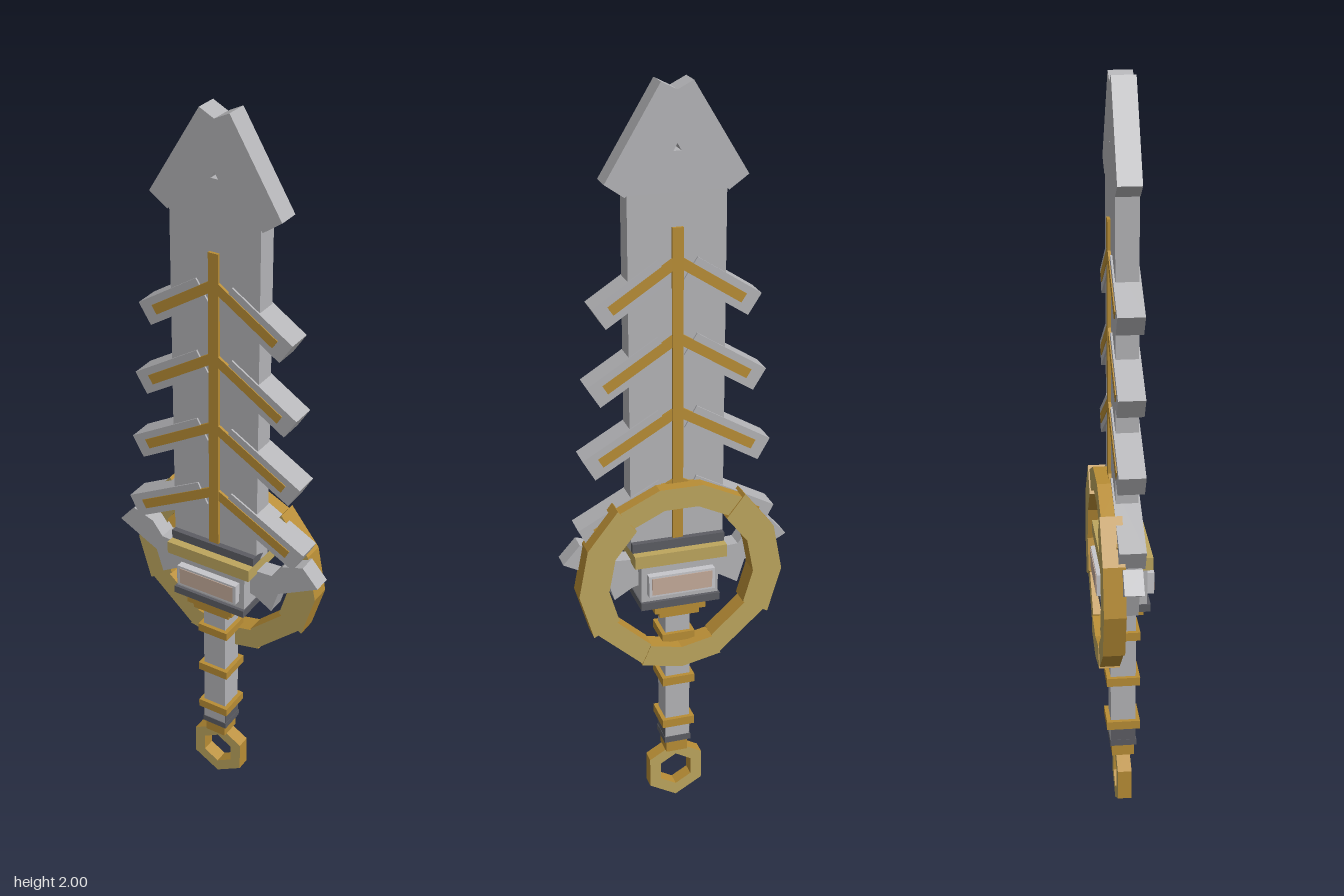
import * as THREE from 'three';

const mat = (name, color) => {
  const m = new THREE.MeshStandardMaterial({ color, flatShading: true });
  m.name = name;
  return m;
};

export function createModel() {
  const root = new THREE.Group();
  root.name = 'sword';
  const steel = mat('steel', 0xb4b4b7);
  const lightSteel = mat('lightSteel', 0xc6c6ca);
  const dark = mat('darkSteel', 0x5c5d63);
  const pale = mat('paleGold', 0xbda65e);
  const gold = mat('deepGold', 0xb88d35);
  const pink = mat('inlay', 0xc4aa9a);

  const add = (name, geo, material, parent = root) => {
    const m = new THREE.Mesh(geo, material);
    m.name = name;
    parent.add(m);
    return m;
  };
  // box from half width, y range and half depth
  const slab = (name, hx, y0, y1, hz, material) => {
    const m = add(name, new THREE.BoxGeometry(hx * 2, y1 - y0, hz * 2), material);
    m.position.y = (y0 + y1) / 2;
    return m;
  };
  // flat plate from an outline, z from z0 to z1
  const plate = (name, pts, z0, z1, material, hole) => {
    const s = new THREE.Shape(pts.map(p => new THREE.Vector2(...p)));
    if (hole) s.holes.push(new THREE.Path(hole.map(p => new THREE.Vector2(...p))));
    const g = new THREE.ExtrudeGeometry(s, { depth: z1 - z0, bevelEnabled: false });
    g.translate(0, 0, z0);
    return add(name, g, material);
  };
  const arc = (r, n, a0, a1, cy = 0) => Array.from({ length: n + 1 }, (_, i) => {
    const a = a0 + (a1 - a0) * i / n;
    return [r * Math.cos(a), cy + r * Math.sin(a)];
  });

  // blade and arrow-shaped tip
  slab('blade', 0.125, 0.78, 1.75, 0.029, steel);
  plate('bladeTip', [
    [-0.125, 1.74], [0.125, 1.74], [0.13, 1.735], [0.18, 1.77], [0.04, 2], [0, 1.98],
    [-0.04, 2], [-0.18, 1.77], [-0.13, 1.735],
  ], -0.03, 0.03, steel, [[-0.01, 1.838], [0, 1.856], [0.01, 1.838]]);
  slab('bladeSpine', 0.014, 0.8, 1.655, 0.037, gold);

  // four pairs of swept barbs with gold inlays
  const barbs = [[1.572, 0.2, 33], [1.376, 0.217, 32], [1.18, 0.233, 30], [0.985, 0.25, 28]];
  for (const [y, reach, deg] of barbs) {
    for (const s of [-1, 1]) {
      const arm = new THREE.Group();
      arm.name = s > 0 ? 'leftBarb' : 'rightBarb';
      arm.position.y = y;
      arm.rotation.z = -s * deg * Math.PI / 180;
      const len = reach / Math.cos(deg * Math.PI / 180);
      const body = add('barb', new THREE.BoxGeometry(len - 0.04, 0.064, 0.068), steel, arm);
      body.position.x = s * (len + 0.04) / 2;
      const inlay = add('barbInlay', new THREE.BoxGeometry(len - 0.035, 0.026, 0.073), gold, arm);
      inlay.position.x = s * (len - 0.035) / 2;
      root.add(arm);
    }
  }

  // ring behind the guard, built of wide and narrow arcs
  const ringArcs = [
    [-30, 52, 0.277, 0.197, -0.074], [52, 128, 0.266, 0.206, -0.07],
    [128, 210, 0.277, 0.197, -0.074], [210, 246, 0.266, 0.206, -0.07],
    [246, 294, 0.27, 0.21, -0.072], [294, 330, 0.266, 0.206, -0.07],
  ];
  for (const [d0, d1, ro, ri, back] of ringArcs) {
    const a0 = d0 * Math.PI / 180, a1 = d1 * Math.PI / 180;
    const n = Math.max(1, Math.round((d1 - d0) / 26));
    plate('ringSegment', [...arc(ro, n, a0, a1, 0.723), ...arc(ri, n, a1, a0, 0.723)],
      back, -0.017, [pale, gold]);
  }

  // guard wings
  for (const s of [-1, 1]) {
    plate(s > 0 ? 'leftWing' : 'rightWing', [
      [0.08, 0.77], [0.17, 0.775], [0.2, 0.815], [0.26, 0.835], [0.305, 0.785],
      [0.22, 0.74], [0.19, 0.725], [0.17, 0.66], [0.12, 0.69], [0.08, 0.7],
    ].map(([x, y]) => [s * x, y]), -0.025, 0.025, steel);
  }

  // stacked guard block
  slab('upperCollar', 0.125, 0.8, 0.825, 0.045, dark);
  slab('upperBar', 0.125, 0.765, 0.8, 0.068, pale);
  slab('guardBlock', 0.105, 0.655, 0.765, 0.055, steel);
  slab('guardPanel', 0.09, 0.68, 0.74, 0.075, lightSteel);
  slab('panelInlay', 0.082, 0.686, 0.734, 0.077, pink);
  slab('lowerCollar', 0.108, 0.637, 0.658, 0.064, dark);
  slab('upperStep', 0.07, 0.618, 0.64, 0.06, gold);
  slab('lowerStep', 0.055, 0.6, 0.62, 0.052, gold);

  // handle and its bands
  slab('handle', 0.034, 0.19, 0.6, 0.034, steel);
  for (const y of [0.53, 0.393, 0.258]) slab('handleBand', 0.045, y - 0.012, y + 0.012, 0.045, gold);
  slab('handleBase', 0.037, 0.19, 0.208, 0.036, dark);
  for (const s of [-1, 1]) {
    const p = add('handleSidePlate', new THREE.BoxGeometry(0.004, 0.04, 0.068), dark);
    p.position.set(s * 0.034, 0.225, 0);
  }

  // pommel: stepped neck and hexagonal loop
  slab('pommelNeck', 0.03, 0.155, 0.19, 0.03, gold);
  const hex = r => arc(r, 5, Math.PI / 6, Math.PI * 11 / 6, 0.086);
  plate('pommelLoop', hex(0.086), -0.019, 0.019, [pale, gold], hex(0.05));

  // mirrored outlines are re-wound by the shape triangulator; centre on the ground
  return root;
}
